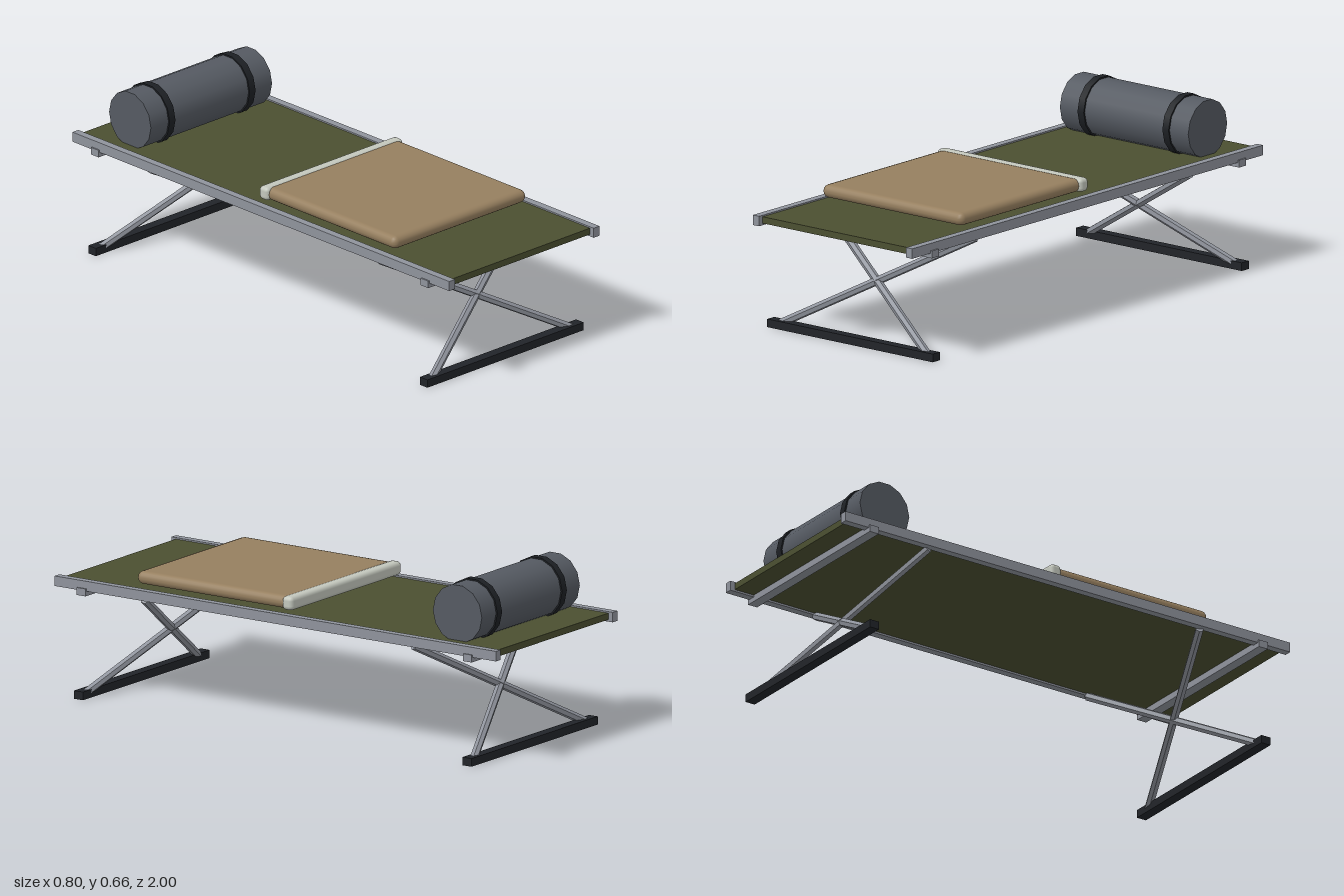
import * as THREE from 'three';
import { RoundedBoxGeometry } from 'three/addons/geometries/RoundedBoxGeometry.js';

const mat = (color, flatShading = false) => new THREE.MeshStandardMaterial({ color, flatShading });

export function createModel() {
  const cot = new THREE.Group();
  cot.name = 'campCot';
  const metal = mat(0x8f939c, true);
  const rubber = mat(0x212429, true);
  const canvas = mat(0x4b4f31);
  const wool = mat(0x967f5f);
  const linen = mat(0xc3c7bd);
  const rollCloth = mat(0x555a62);
  const strap = mat(0x1d2024);

  const add = (name, geometry, material, x, y, z) => {
    const mesh = new THREE.Mesh(geometry, material);
    mesh.name = name;
    mesh.position.set(x, y, z);
    cot.add(mesh);
    return mesh;
  };
  const box = (name, material, w, h, d, x, y, z) =>
    add(name, new THREE.BoxGeometry(w, h, d), material, x, y, z);

  // Straight six-sided tube between two points
  const bar = (name, a, b, radius) => {
    const dir = b.clone().sub(a);
    const mid = a.clone().add(b).multiplyScalar(0.5);
    const mesh = add(name, new THREE.CylinderGeometry(radius, radius, dir.length(), 6), metal, mid.x, mid.y, mid.z);
    mesh.quaternion.setFromUnitVectors(new THREE.Vector3(0, 1, 0), dir.normalize());
  };

  // Canvas bed and side rails
  box('canvasBed', canvas, 0.72, 0.025, 1.96, 0, 0.431, 0);
  for (const s of [-1, 1]) {
    box(s > 0 ? 'leftRail' : 'rightRail', metal, 0.03, 0.038, 2, s * 0.37, 0.43, 0);
  }

  // Cross bar, crossed legs and foot at each end
  for (const s of [-1, 1]) {
    const end = s > 0 ? 'front' : 'back';
    box(end + 'CrossBar', metal, 0.782, 0.028, 0.04, 0, 0.407, s * 0.875);
    box(end + 'Foot', rubber, 0.8, 0.031, 0.04, 0, 0.0155, s * 0.88);
    for (const m of [-1, 1]) {
      bar(end + 'Leg', new THREE.Vector3(m * 0.36, 0.015, s * 0.88),
        new THREE.Vector3(-m * 0.36, 0.41, s * 0.61), 0.016);
    }
  }

  // Blanket with folded-over sheet
  add('blanket', new RoundedBoxGeometry(0.68, 0.05, 0.69, 2, 0.024), wool, 0, 0.482, 0.32);
  add('foldedSheet', new RoundedBoxGeometry(0.7, 0.052, 0.048, 2, 0.016), linen, 0, 0.483, -0.026);

  // Bedroll and its straps
  const roll = (name, material, radius, length, x) => {
    add(name, new THREE.CylinderGeometry(radius, radius, length, 14), material, x, 0.544, -0.772)
      .rotation.z = Math.PI / 2;
  };
  roll('bedroll', rollCloth, 0.111, 0.62, 0);
  for (const s of [-1, 1]) roll('bedrollStrap', strap, 0.117, 0.03, s * 0.205);

  return cot;
}
